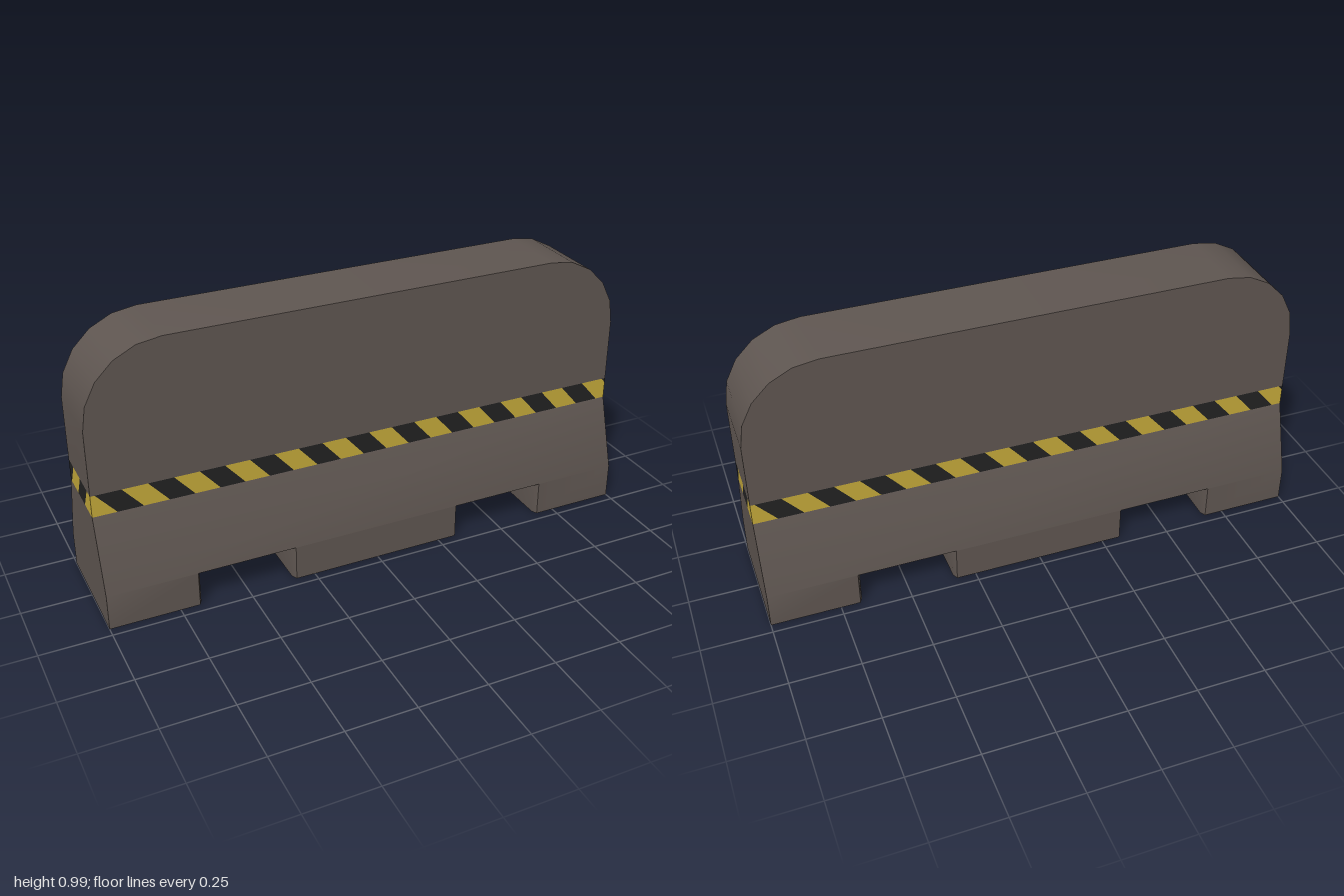
import * as THREE from 'three';
import { toCreasedNormals } from 'three/addons/utils/BufferGeometryUtils.js';

const KNEE = 0.13, BAND0 = 0.395, BAND1 = 0.475, TOP = 0.99; // heights
const FOOT = 0.215, WALL = 0.135;                            // half depths

const halfDepth = (y) =>
  y <= KNEE ? FOOT : y >= BAND0 ? WALL : FOOT + (WALL - FOOT) * (y - KNEE) / (BAND0 - KNEE);

// Maps flat (u, y) points, u to the right, onto the front and the +x end.
const onFront = (pts) => pts.map(([u, y]) => [u, y, halfDepth(y)]);
const onEnd = (pts) => pts.map(([u, y]) => [1, y, -u]);
const rect = (x0, x1, y0, y1) => [[x0, y0], [x1, y0], [x1, y1], [x0, y1]];

// Convex polygons to a mesh; each is repeated turned half round the y axis.
function mesh(name, polys, material) {
  const pos = [];
  for (const s of [1, -1]) {
    for (const p of polys) {
      for (let i = 1; i < p.length - 1; i++) {
        for (const [x, y, z] of [p[0], p[i], p[i + 1]]) pos.push(s * x, y, s * z);
      }
    }
  }
  const geo = new THREE.BufferGeometry();
  geo.setAttribute('position', new THREE.Float32BufferAttribute(pos, 3));
  const m = new THREE.Mesh(toCreasedNormals(geo, 0.6), material);
  m.name = name;
  return m;
}

// Cuts a polygon at u = limit, keeping the side given by sign.
function clip(pts, limit, sign) {
  const out = [];
  pts.forEach((a, i) => {
    const b = pts[(i + 1) % pts.length];
    const da = sign * (a[0] - limit), db = sign * (b[0] - limit);
    if (da >= 0) out.push(a);
    if (da * db < 0) {
      const t = da / (da - db);
      out.push([limit, a[1] + t * (b[1] - a[1])]);
    }
  });
  return out;
}

// Slanted stripes filling -half..half; start is the bottom left of one stripe.
function stripes(half, start, width, period, slant) {
  const out = [];
  for (let a = start - 2 * period; a < half + period; a += period) {
    const bar = [[a, BAND0], [a + width, BAND0], [a + width + slant, BAND1], [a + slant, BAND1]];
    const cut = clip(clip(bar, -half, 1), half, -1);
    if (cut.length > 2) out.push(cut);
  }
  return out;
}

export function createModel() {
  const concrete = new THREE.MeshStandardMaterial({ color: 0x5f5651 });
  concrete.name = 'warm grey';
  const yellow = new THREE.MeshStandardMaterial({ color: 0xc4a93a });
  yellow.name = 'warning yellow';
  const black = new THREE.MeshStandardMaterial({ color: 0x222222 });
  black.name = 'warning black';
  const group = new THREE.Group();
  group.name = 'roadBarrier';

  // Upper wall with rounded shoulders
  const R = 0.28, arc = [];
  for (let i = 0; i <= 5; i++) {
    const a = i * Math.PI / 10;
    arc.push([1 - R + R * Math.cos(a), TOP - R + R * Math.sin(a)]);
  }
  const mirrored = arc.map(([x, y]) => [-x, y]).reverse();
  const upper = [onFront([[-1, BAND1], [1, BAND1], ...arc, ...mirrored])];
  const edge = [[1, BAND1], ...arc, [0, TOP]];
  for (let i = 0; i < edge.length - 1; i++) {
    const [p, q] = [edge[i], edge[i + 1]];
    upper.push([[...p, WALL], [...p, -WALL], [...q, -WALL], [...q, WALL]]);
  }
  group.add(mesh('upperWall', upper, concrete));

  // Flared base: sloped face, feet, ends and undersides
  const S = FOOT - 0.02;
  const base = [
    onFront(rect(-1, 1, KNEE, BAND0)),
    onFront(rect(-1, -0.68, 0, KNEE)),
    onFront(rect(-0.32, 0.32, 0, KNEE)),
    onFront(rect(0.68, 1, 0, KNEE)),
    onEnd([[-FOOT, 0], [FOOT, 0], [FOOT, KNEE], [WALL, BAND0], [-WALL, BAND0], [-FOOT, KNEE]]),
    [[0.68, 0, FOOT], [0.67, 0, S], [0.67, 0, -S], [0.68, 0, -FOOT], [1, 0, -FOOT], [1, 0, FOOT]],
    [[0, 0, FOOT], [0, 0, -FOOT], [0.32, 0, -FOOT], [0.33, 0, -S], [0.33, 0, S], [0.32, 0, FOOT]],
  ];
  group.add(mesh('flaredBase', base, concrete));

  // Fork slots with chamfered mouths
  const ring = (g, z) => [
    [0.67 + g, 0, z], [0.67 + g, 0.12 + g, z], [0.33 - g, 0.12 + g, z], [0.33 - g, 0, z],
  ];
  const rings = [ring(0.01, FOOT), ring(0, S), ring(0, -S), ring(0.01, -FOOT)];
  const slot = [];
  for (let r = 0; r < 3; r++) {
    for (let i = 0; i < 3; i++) {
      slot.push([rings[r][i], rings[r][i + 1], rings[r + 1][i + 1], rings[r + 1][i]]);
    }
  }
  group.add(mesh('forkSlots', slot, concrete));

  // Warning band around all four sides
  const band = (phase) => [
    ...stripes(1, -1.004 + phase * 0.0895, 0.0895, 0.179, -0.07).map(onFront),
    ...stripes(WALL, -0.121 + phase * 0.084, 0.084, 0.168, 0.048).map(onEnd),
  ];
  group.add(mesh('yellowStripes', band(0), yellow));
  group.add(mesh('blackStripes', band(1), black));
  return group;
}
